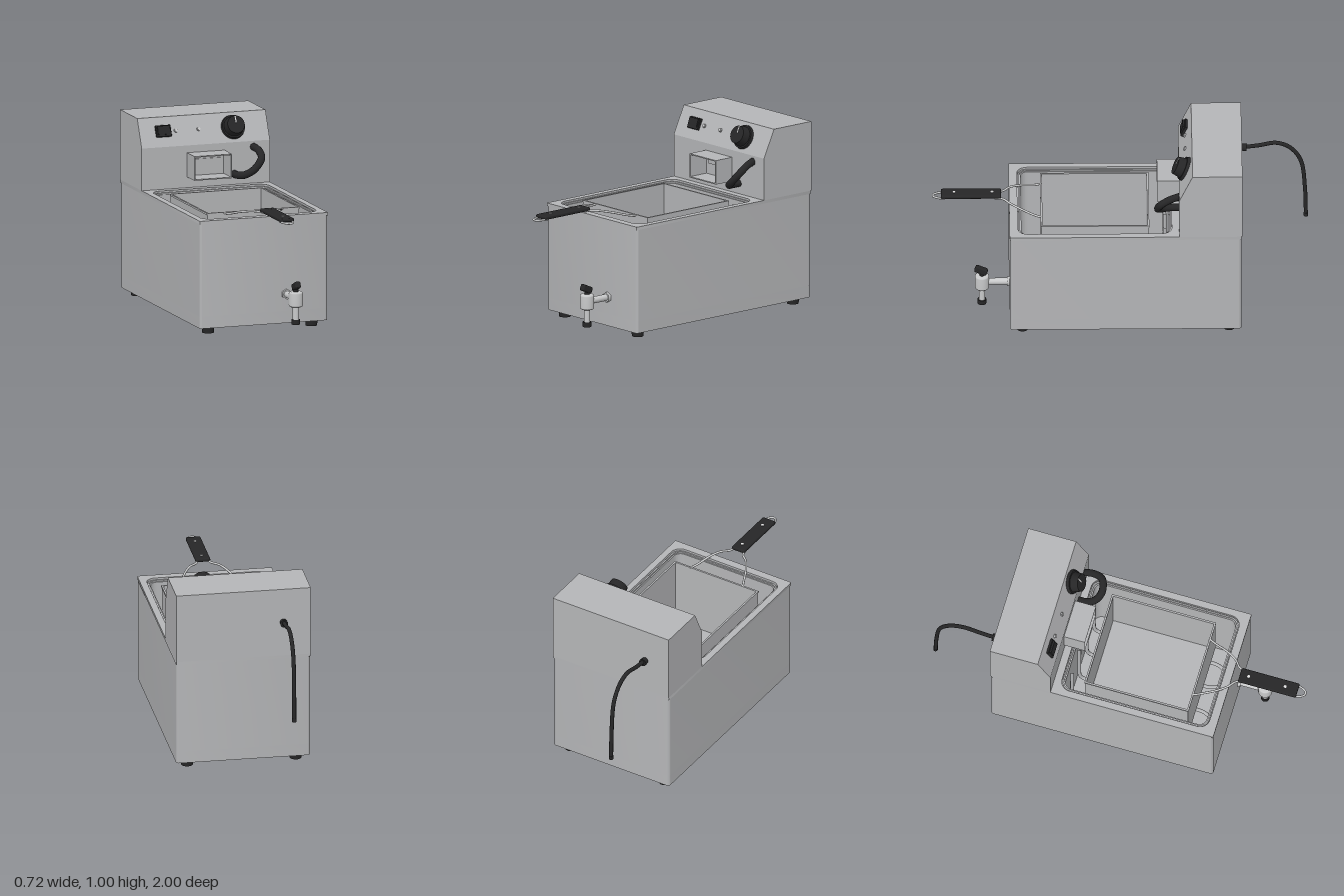
import * as THREE from 'three';
import { toCreasedNormals } from 'three/addons/utils/BufferGeometryUtils.js';
import { RoundedBoxGeometry } from 'three/addons/geometries/RoundedBoxGeometry.js';

const paint = (name, color) => {
  const m = new THREE.MeshStandardMaterial({ color });
  m.name = name;
  return m;
};
const steel = paint('brushed steel', 0xb4b5b7);
const chrome = paint('bright steel', 0xc8c9ca);
const black = paint('black plastic', 0x262627);
const white = paint('white mark', 0xe2e2e2);

const V = (x, y, z) => new THREE.Vector3(x, y, z);

// Rounded rectangle on the floor plane, drawn as (x, -z)
function roundRect(Type, hx, z0, z1, r) {
  const s = new Type(), a = -z1, b = -z0, q = Math.PI / 2;
  s.moveTo(-hx + r, a);
  s.absarc(hx - r, a + r, r, -q, 0);
  s.absarc(hx - r, b - r, r, 0, q);
  s.absarc(-hx + r, b - r, r, q, 2 * q);
  s.absarc(-hx + r, a + r, r, 2 * q, 3 * q);
  s.closePath();
  return s;
}

// Vertical slab from y0 to y1 with an optional hole
function slab(outer, y0, y1, hole) {
  const s = roundRect(THREE.Shape, ...outer);
  if (hole) s.holes.push(roundRect(THREE.Path, ...hole));
  const g = new THREE.ExtrudeGeometry(s, { depth: y1 - y0, bevelEnabled: false, curveSegments: 8 });
  g.rotateX(-Math.PI / 2).translate(0, y0, 0);
  return toCreasedNormals(g, 0.6);
}

export function createModel() {
  const root = new THREE.Group();
  root.name = 'deepFryer';

  const add = (name, geo, mat, x = 0, y = 0, z = 0, parent = root) => {
    const m = new THREE.Mesh(geo, mat);
    m.name = name;
    m.position.set(x, y, z);
    parent.add(m);
    return m;
  };
  const box = (w, h, d) => new THREE.BoxGeometry(w, h, d);
  const cyl = (r1, r2, h, n = 28) => new THREE.CylinderGeometry(r1, r2, h, n);
  const cylZ = (r1, r2, h, n) => cyl(r1, r2, h, n).rotateX(Math.PI / 2);
  const tube = (pts, r, tension = 0.5) => new THREE.TubeGeometry(
    new THREE.CatmullRomCurve3(pts, false, 'catmullrom', tension), pts.length * 10, r, 10);

  // Housing with the sunken oil tank
  const outer = [0.36, -0.64, 0.588, 0.015];
  const tank = [0.307, -0.252, 0.527, 0.04];
  add('base', slab(outer, 0.035, 0.1), steel);
  add('housing', slab(outer, 0.1, 0.6, tank), steel);
  add('topPlate', slab([0.362, -0.64, 0.59, 0.003], 0.6, 0.617, [0.326, -0.271, 0.546, 0.055]), steel);
  add('tankLip', slab([0.322, -0.267, 0.542, 0.052], 0.6, 0.608, [0.314, -0.259, 0.534, 0.045]), steel);

  // Feet
  for (const x of [-0.292, 0.292]) for (const z of [0.522, -0.575]) {
    add('foot', cyl(0.033, 0.031, 0.03), black, x, 0.015, z);
    add('footStem', cyl(0.024, 0.024, 0.01), black, x, 0.032, z);
  }

  // Control head
  const profile = new THREE.Shape([[-0.31, 0.617], [-0.31, 0.845], [-0.38, 0.995], [-0.645, 0.995], [-0.645, 0.617]]
    .map(p => new THREE.Vector2(...p)));
  const headGeo = new THREE.ExtrudeGeometry(profile, { depth: 0.724, bevelEnabled: false });
  headGeo.rotateY(-Math.PI / 2).translate(0.362, 0, 0);
  add('controlHead', headGeo, steel);

  // Controls on the slanted panel
  const panel = new THREE.Group();
  panel.name = 'controlPanel';
  panel.position.set(0, 0.92, -0.345);
  panel.rotation.x = -Math.atan2(0.07, 0.15);
  root.add(panel);
  add('switchFrame', new RoundedBoxGeometry(0.086, 0.064, 0.016, 2, 0.004), black, -0.229, 0.003, 0.006, panel);
  const rocker = add('switchRocker', box(0.07, 0.046, 0.016), black, -0.229, 0.006, 0.014, panel);
  rocker.rotation.x = 0.12;
  for (const x of [-0.157, -0.028]) {
    add('lampRing', cylZ(0.011, 0.011, 0.008), steel, x, 0.003, 0.003, panel);
    add('lamp', cylZ(0.008, 0.008, 0.01), chrome, x, 0.003, 0.004, panel);
  }
  add('knobSkirt', cylZ(0.063, 0.066, 0.016, 40), black, 0.165, 0, 0.009, panel);
  add('knob', cylZ(0.048, 0.055, 0.045, 40), black, 0.165, 0, 0.037, panel);
  add('knobPointer', box(0.006, 0.04, 0.004), white, 0.165, 0.028, 0.06, panel);

  // Basket rest: open-fronted frame on the head
  const frame = new THREE.Shape();
  const rect = (s, x, y0, y1) => s.moveTo(-x, y0).lineTo(x, y0).lineTo(x, y1).lineTo(-x, y1).closePath();
  rect(frame, 0.106, 0.675, 0.806);
  const hole = new THREE.Path();
  rect(hole, 0.1, 0.681, 0.8);
  frame.holes.push(hole);
  add('basketRest', new THREE.ExtrudeGeometry(frame, { depth: 0.117, bevelEnabled: false }), steel, 0, 0, -0.312);
  add('restSlotPlate', box(0.16, 0.03, 0.008), steel, 0, 0.755, -0.308);

  // Black conduit loop
  add('conduit', tube([V(0.268, 0.815, -0.32), V(0.282, 0.8, -0.26), V(0.278, 0.765, -0.212), V(0.235, 0.715, -0.197),
    V(0.19, 0.685, -0.215), V(0.163, 0.675, -0.26), V(0.16, 0.675, -0.32)], 0.02), black);

  // Power cord
  add('cordBushing', cylZ(0.018, 0.021, 0.03), black, -0.215, 0.808, -0.657);
  add('powerCord', tube([V(-0.215, 0.808, -0.65), V(-0.215, 0.82, -0.74), V(-0.215, 0.835, -0.83), V(-0.215, 0.8, -0.91),
    V(-0.215, 0.71, -0.965), V(-0.215, 0.55, -0.983), V(-0.215, 0.38, -0.988)], 0.011), black);
  add('cordEnd', cyl(0.012, 0.012, 0.02), black, -0.215, 0.384, -0.988);

  // Heating elements near the tank floor
  for (const s of [-1, 1]) {
    add('heatingElement', tube([V(s * 0.205, 0.58, -0.235), V(s * 0.205, 0.2, -0.235), V(s * 0.205, 0.14, -0.2),
      V(s * 0.205, 0.14, 0.1), V(s * 0.205, 0.14, 0.44), V(s * 0.17, 0.14, 0.505), V(s * 0.105, 0.14, 0.505),
      V(s * 0.07, 0.14, 0.44), V(s * 0.07, 0.14, 0.1), V(s * 0.07, 0.14, -0.2), V(s * 0.07, 0.2, -0.235),
      V(s * 0.07, 0.58, -0.235)], 0.01, 0.25), steel);
  }

  // Frying basket
  const basket = new THREE.Group();
  basket.name = 'basket';
  root.add(basket);
  const t = 0.006, y0 = 0.24, y1 = 0.618, zc = 0.136;
  for (const s of [-1, 1]) {
    add('basketSide', box(t, y1 - y0, 0.57), steel, s * 0.255, (y0 + y1) / 2, zc, basket);
    add('basketEnd', box(0.51, y1 - y0, t), steel, 0, (y0 + y1) / 2, zc + s * 0.282, basket);
    add('basketRimSide', box(0.01, 0.01, 0.576), steel, s * 0.256, 0.618, zc, basket);
    add('basketRimEnd', box(0.522, 0.01, 0.01), steel, 0, 0.618, zc + s * 0.283, basket);
    // Handle wires
    add('handleWire', tube([V(s * 0.165, 0.618, 0.415), V(s * 0.145, 0.622, 0.46), V(s * 0.115, 0.641, 0.53),
      V(s * 0.08, 0.653, 0.585), V(s * 0.04, 0.655, 0.622), V(s * 0.03, 0.655, 0.67)], 0.006), chrome, 0, 0, 0, basket);
  }
  add('basketFloor', box(0.51, t, 0.565), steel, 0, y0, zc, basket);

  // Handle grip, rivets and hanging loop
  add('handleGrip', new RoundedBoxGeometry(0.08, 0.02, 0.32, 3, 0.008), black, 0, 0.664, 0.792, basket);
  for (const z of [0.68, 0.882]) add('rivet', cyl(0.008, 0.008, 0.004, 16), white, 0, 0.675, z, basket);
  add('hangingLoop', tube([V(-0.032, 0.655, 0.93), V(-0.028, 0.655, 0.96), V(-0.014, 0.655, 0.988), V(0, 0.655, 0.994),
    V(0.014, 0.655, 0.988), V(0.028, 0.655, 0.96), V(0.032, 0.655, 0.93)], 0.006), chrome, 0, 0, 0, basket);

  // Drain tap
  const tap = new THREE.Group();
  tap.name = 'drainTap';
  tap.position.set(0.127, 0, 0.735);
  root.add(tap);
  add('tapFlange', cylZ(0.028, 0.028, 0.016, 6), chrome, 0, 0.192, -0.14, tap);
  add('tapPipe', cylZ(0.018, 0.018, 0.14), chrome, 0, 0.192, -0.075, tap);
  const body = [[0, 0.15], [0.03, 0.15], [0.036, 0.154], [0.038, 0.16], [0.038, 0.222], [0.036, 0.228], [0.03, 0.232], [0, 0.232]];
  add('tapBody', new THREE.LatheGeometry(body.map(p => new THREE.Vector2(...p)), 28), chrome, 0, 0, 0, tap);
  add('tapSpout', cyl(0.017, 0.017, 0.08), chrome, 0, 0.115, 0, tap);
  add('spoutTip', cyl(0.023, 0.023, 0.026), black, 0, 0.068, 0, tap);
  add('tapStem', cyl(0.014, 0.014, 0.02), black, 0, 0.24, 0, tap);
  const lever = add('tapLever', new RoundedBoxGeometry(0.032, 0.036, 0.068, 2, 0.008), black, 0, 0.262, 0.005, tap);
  lever.rotation.x = -0.42;

  return root;
}
